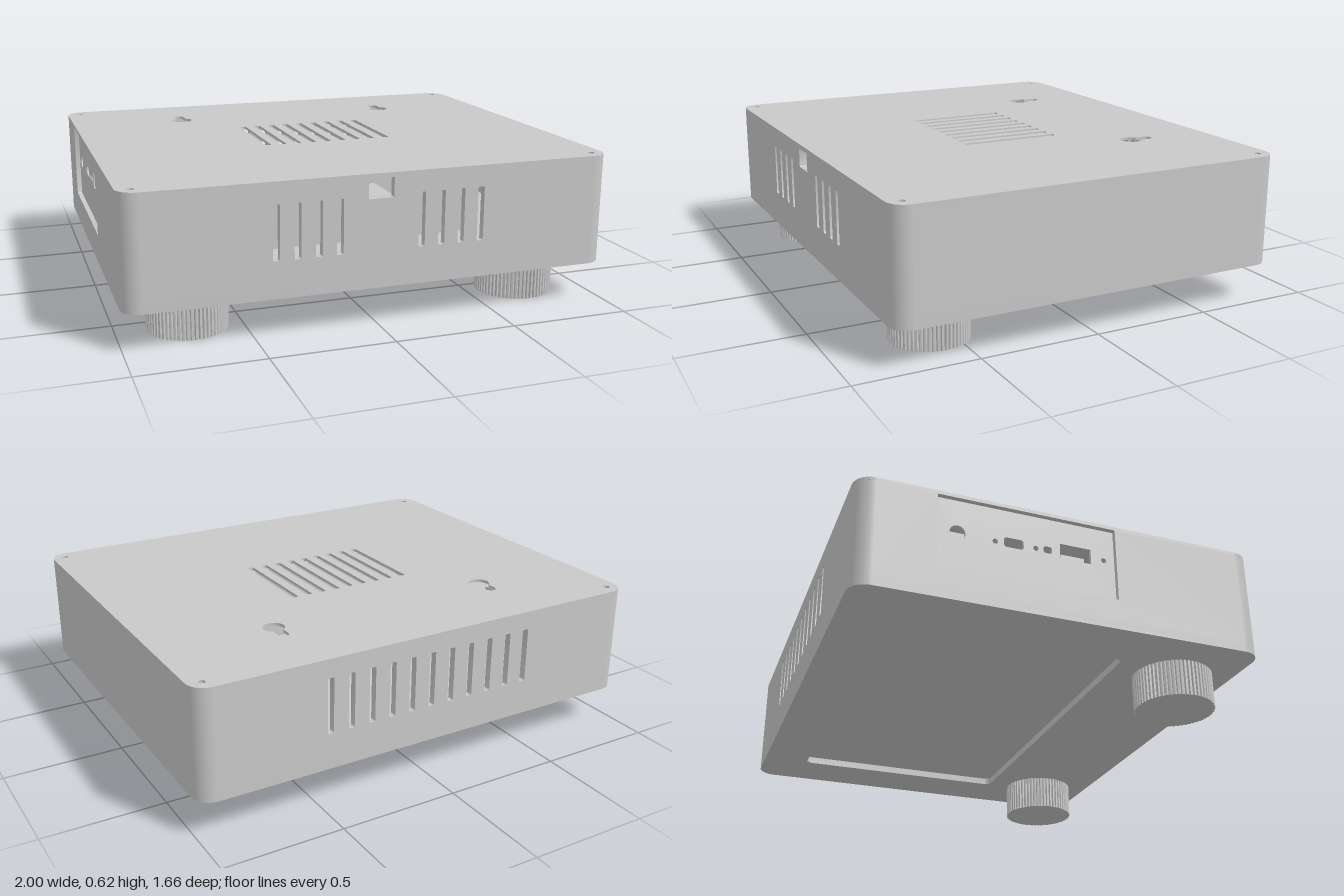
import * as THREE from 'three';
import { toCreasedNormals } from 'three/addons/utils/BufferGeometryUtils.js';

const HX = 1, HZ = 0.832, R = 0.076;         // half width, half depth, corner radius
const WALL = 0.03, Y0 = 0.2, Y1 = 0.605;     // wall thickness, bottom and top of walls

// Rounded rectangle centred on (cx, cy)
function rect(cx, cy, w, h, r = 0.006, Type = THREE.Path) {
  const p = new Type(), x = w / 2 - r, y = h / 2 - r;
  p.absarc(cx + x, cy + y, r, 0, Math.PI / 2);
  p.absarc(cx - x, cy + y, r, Math.PI / 2, Math.PI);
  p.absarc(cx - x, cy - y, r, Math.PI, Math.PI * 1.5);
  p.absarc(cx + x, cy - y, r, Math.PI * 1.5, Math.PI * 2);
  p.closePath();
  return p;
}

function circle(x, y, r) {
  const p = new THREE.Path();
  p.absarc(x, y, r, 0, Math.PI * 2);
  return p;
}

// Hanging hole: a round opening with a narrow slot toward the back
function keyhole(x) {
  const p = new THREE.Path(), a = Math.acos(0.022 / 0.045);
  p.absarc(x, 0.462, 0.045, a, Math.PI - a, true);
  p.absarc(x, 0.543, 0.022, Math.PI, 0, true);
  p.closePath();
  return p;
}

function plate(shape, holes, depth) {
  shape.holes.push(...holes);
  const g = new THREE.ExtrudeGeometry(shape, { depth, bevelEnabled: false, curveSegments: 8 });
  return toCreasedNormals(g, 0.5);
}

export function createModel() {
  const group = new THREE.Group();
  const grey = new THREE.MeshStandardMaterial({ color: 0xc8c8c8 });
  grey.name = 'lightGrey';
  const add = (name, geo, x = 0, y = 0, z = 0) => {
    const m = new THREE.Mesh(geo, grey);
    m.name = name;
    m.position.set(x, y, z);
    group.add(m);
  };

  // Horizontal layers share one rounded outline (shape y points to the back)
  const layer = (name, y, h, holes) =>
    add(name, plate(rect(0, 0, 2 * HX, 2 * HZ, R, THREE.Shape), holes, h).rotateX(-Math.PI / 2), 0, y, 0);

  const lidHoles = [keyhole(-0.5), keyhole(0.5)];
  for (let i = -4; i <= 4; i++) lidHoles.push(rect(i * 0.067, 0.003, 0.027, 0.425));
  for (const x of [-0.943, 0.943]) for (const y of [-0.775, 0.775]) lidHoles.push(circle(x, y, 0.014));
  layer('lid', Y1, 0.617 - Y1, lidHoles);
  layer('floor', 0.19, 0.01, []);
  layer('bottomFrame', 0.16, 0.03, [rect(0, 0.15, 1.54, 0.965, 0.03)]);

  // Side walls between the rounded corners, each facing outward
  const wall = (name, half, reach, angle, holes) => {
    const outline = new THREE.Shape([
      new THREE.Vector2(-half, Y0), new THREE.Vector2(half, Y0),
      new THREE.Vector2(half, Y1), new THREE.Vector2(-half, Y1)]);
    add(name, plate(outline, holes, WALL).translate(0, 0, reach - WALL).rotateY(angle));
  };
  const frontHoles = [rect(-0.002, 0.558, 0.104, 0.08, 0.003)];
  for (const s of [-1, 1])
    for (let i = 0; i < 4; i++) frontHoles.push(rect(s * (0.168 + i * 0.084), 0.42, 0.027, 0.22));
  const backHoles = [];
  for (let i = -5; i <= 5; i++) backHoles.push(rect(i * 0.0915, 0.425, 0.027, 0.23));
  wall('frontWall', HX - R, HZ, 0, frontHoles);
  wall('backWall', HX - R, HZ, Math.PI, backHoles);
  wall('leftWall', HZ - R, HX, Math.PI / 2, []);
  wall('rightWall', HZ - R, HX, -Math.PI / 2, [rect(-0.155, 0.445, 0.73, 0.314, 0.004)]);

  // Corner posts
  for (const sx of [-1, 1]) for (const sz of [-1, 1])
    add('cornerPost', new THREE.CylinderGeometry(R, R, Y1 - Y0, 32),
      sx * (HX - R), (Y0 + Y1) / 2, sz * (HZ - R));

  // Recessed connector panel on the right side
  const ports = [
    circle(-0.435, 0.46, 0.032), circle(-0.285, 0.456, 0.011),
    rect(-0.21, 0.462, 0.08, 0.042, 0.012), circle(-0.12, 0.46, 0.011),
    rect(-0.071, 0.463, 0.035, 0.03, 0.01), rect(0.045, 0.47, 0.13, 0.065, 0.004),
    circle(0.165, 0.465, 0.011)];
  add('connectorPanel', plate(rect(-0.155, 0.44, 0.74, 0.33, 0.004, THREE.Shape), ports, 0.015)
    .translate(0, 0, 0.965).rotateY(-Math.PI / 2));

  // Circuit board with sockets behind the panel
  add('circuitBoard', new THREE.BoxGeometry(0.34, 0.02, 0.74), -0.78, 0.42, -0.155);
  for (const [z, w, h] of [[-0.435, 0.09, 0.05], [-0.21, 0.06, 0.03], [0.045, 0.1, 0.045]])
    add('socket', new THREE.BoxGeometry(0.18, h, w), -0.86, 0.43 + h / 2, z);

  // Inner partition behind the front vents, and a shelf behind the front window
  add('innerPartition', new THREE.BoxGeometry(1.2, 0.345, 0.02), 0, Y0 + 0.1725, 0.34);
  add('windowShelf', new THREE.BoxGeometry(0.12, 0.015, 0.2), 0, 0.5105, 0.7);

  // Finely grooved round feet under the front edge
  const points = 60 * 4, outline = [];
  for (let i = 0; i < points; i++) {
    const a = (i / points) * Math.PI * 2, r = i % 4 === 3 ? 0.155 : 0.162;
    outline.push(new THREE.Vector2(r * Math.cos(a), r * Math.sin(a)));
  }
  const foot = new THREE.ExtrudeGeometry(new THREE.Shape(outline), { depth: 0.15, bevelEnabled: false })
    .rotateX(-Math.PI / 2);
  for (const s of [-1, 1]) add('foot', foot, s * 0.715, 0, 0.583);
  return group;
}
